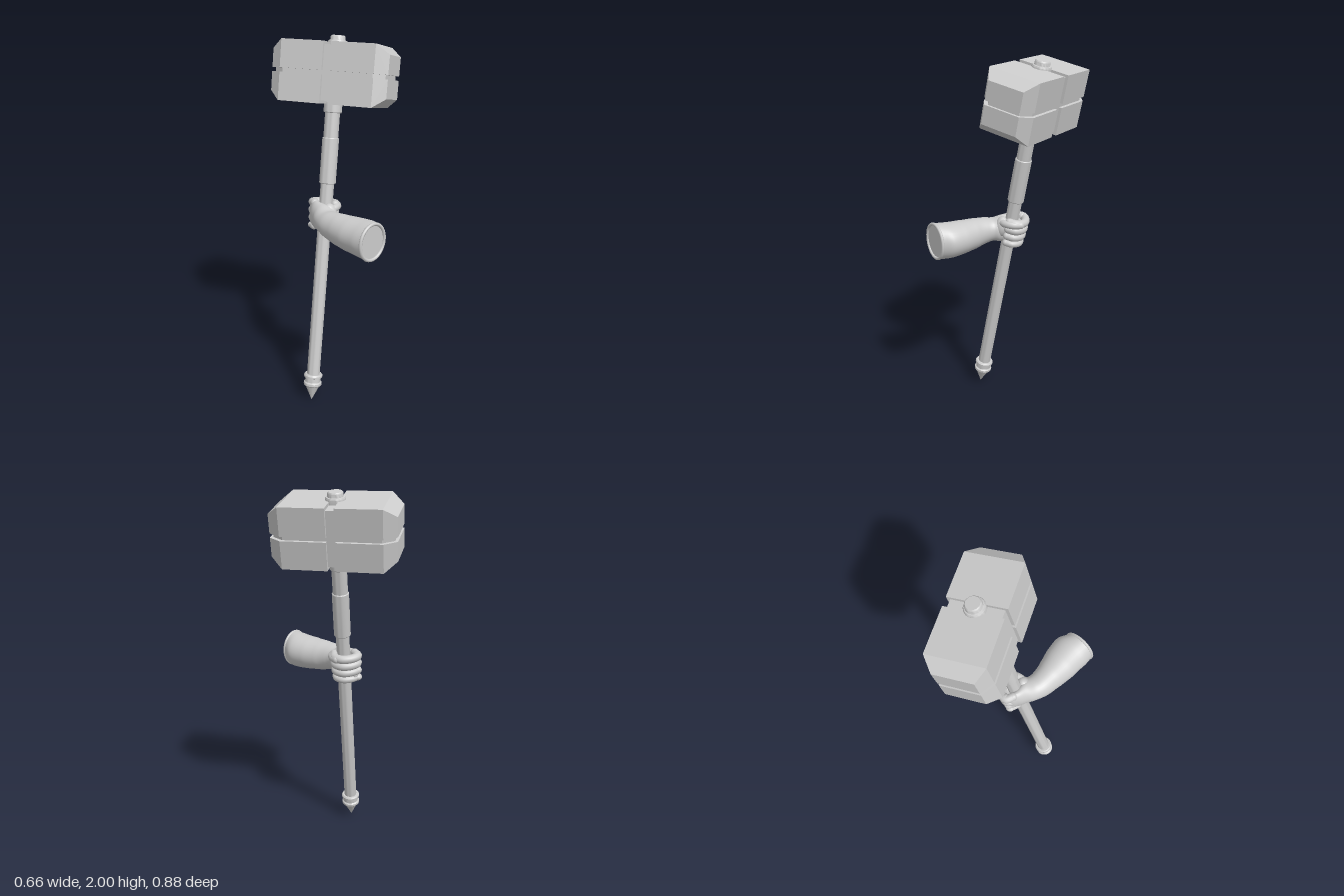
import * as THREE from 'three';
import { toCreasedNormals } from 'three/addons/utils/BufferGeometryUtils.js';
import { ConvexGeometry } from 'three/addons/geometries/ConvexGeometry.js';

const grey = new THREE.MeshStandardMaterial({ color: 0xcccccc });
const V = (x, y, z) => new THREE.Vector3(x, y, z);

function add(parent, name, geometry) {
  const mesh = new THREE.Mesh(geometry, grey);
  mesh.name = name;
  parent.add(mesh);
  return mesh;
}

// Shaft axis, from the spike tip to the top of the knob
const TIP = V(-0.232, 0, 0.155);
const AXIS = V(0.25, 1.995, -0.333).normalize();

function turned(profile) {
  const points = profile.map(([r, y]) => new THREE.Vector2(r, y));
  return toCreasedNormals(new THREE.LatheGeometry(points, 32), 0.6);
}

// Half of the head on one side of the middle: box from x0 with a tapered end
function taperedBlock(sx, sy, x0, y0, inset) {
  const sections = [
    [x0, 0.158 - inset, 0.145 - inset],
    [0.257 - inset * 0.6, 0.158 - inset, 0.145 - inset],
    [0.32 - inset, 0.11 - inset * 0.7, 0.1 - inset * 0.7],
  ];
  const points = [];
  for (const [x, h, d] of sections)
    for (const y of [y0, h])
      for (const z of [-d, d]) points.push(V(sx * x, sy * y, z));
  return new ConvexGeometry(points);
}

function buildHammer() {
  const hammer = new THREE.Group();
  hammer.name = 'hammer';
  const side = V(0.816, 0, 0.578);
  side.addScaledVector(AXIS, -side.dot(AXIS)).normalize();
  const front = side.clone().cross(AXIS);
  hammer.quaternion.setFromRotationMatrix(new THREE.Matrix4().makeBasis(side, AXIS, front));
  hammer.position.copy(TIP);

  // Head: four tapered blocks over an inset core, leaving cross grooves
  const head = new THREE.Group();
  head.name = 'head';
  head.position.y = 1.835;
  hammer.add(head);
  for (const sx of [-1, 1])
    for (const sy of [-1, 1]) {
      add(head, 'headBlock', taperedBlock(sx, sy, 0.023, 0.011, 0));
      add(head, 'headCore', taperedBlock(sx, sy, 0, 0, 0.016));
    }

  add(hammer, 'spike', turned([[0, 0], [0.046, 0.1], [0, 0.1]]));
  add(hammer, 'pommelRing', turned([
    [0, 0.088], [0.045, 0.088], [0.051, 0.096], [0.051, 0.108], [0.044, 0.115],
    [0.044, 0.138], [0.052, 0.142], [0.052, 0.153], [0.046, 0.16], [0, 0.16]]));
  add(hammer, 'shaft', turned([[0, 0.15], [0.036, 0.15], [0.037, 1.7], [0, 1.7]]));
  add(hammer, 'grip', turned([
    [0, 1.252], [0.042, 1.252], [0.045, 1.256], [0.045, 1.496], [0.042, 1.5], [0, 1.5]]));
  add(hammer, 'upperShaft', turned([[0, 1.5], [0.04, 1.5], [0.04, 1.64], [0, 1.64]]));
  add(hammer, 'collar', turned([
    [0, 1.632], [0.046, 1.632], [0.049, 1.636], [0.049, 1.69], [0, 1.69]]));
  add(hammer, 'topKnob', turned([
    [0.051, 1.96], [0.051, 2.0], [0.047, 2.006], [0.041, 2.008], [0.039, 2.026],
    [0.034, 2.032], [0, 2.032]]));
  return hammer;
}

// Smooth skin through elliptical sections [x, y, z, halfWidth, halfHeight, yaw]
function loft(sections, rings, sides) {
  const centres = new THREE.CatmullRomCurve3(sections.map(s => V(s[0], s[1], s[2])));
  const sizes = new THREE.CatmullRomCurve3(sections.map(s => V(s[3], s[4], s[5])));
  const position = [], index = [];
  for (let i = 0; i <= rings; i++) {
    const c = centres.getPoint(i / rings), s = sizes.getPoint(i / rings);
    for (let j = 0; j < sides; j++) {
      const t = (j / sides) * Math.PI * 2;
      const w = s.x * Math.cos(t);
      position.push(c.x + w * Math.cos(s.z), c.y + s.y * Math.sin(t), c.z - w * Math.sin(s.z));
      if (i === rings) continue;
      const a = i * sides + j, b = i * sides + ((j + 1) % sides);
      index.push(a, a + sides, b, b, a + sides, b + sides);
    }
  }
  const geometry = new THREE.BufferGeometry();
  geometry.setAttribute('position', new THREE.Float32BufferAttribute(position, 3));
  geometry.setIndex(index);
  geometry.computeVertexNormals();
  return geometry;
}

// Finger: curved tube with rounded ends
function digit(parent, name, points, radius) {
  const group = new THREE.Group();
  group.name = name;
  parent.add(group);
  const curve = new THREE.CatmullRomCurve3(points);
  add(group, name + 'Body', new THREE.TubeGeometry(curve, 24, radius, 14));
  for (const p of [points[0], points[points.length - 1]])
    add(group, name + 'End', new THREE.SphereGeometry(radius, 14, 10)).position.copy(p);
}

function ellipsoid(parent, name, centre, size) {
  const mesh = add(parent, name, new THREE.SphereGeometry(1, 20, 14));
  mesh.position.copy(centre);
  mesh.scale.copy(size);
  return mesh;
}

function buildArm() {
  const arm = new THREE.Group();
  arm.name = 'arm';

  // Forearm, wrist and back of the hand
  const yaw = Math.PI / 6;
  add(arm, 'forearm', loft([
    [0.045, 1.045, 0.39, 0.091, 0.099, yaw],
    [0.024, 1.043, 0.325, 0.106, 0.097, 0.49],
    [-0.019, 1.043, 0.255, 0.1, 0.092, 0.49],
    [-0.064, 1.045, 0.185, 0.084, 0.085, 0.44],
    [-0.1, 1.05, 0.12, 0.073, 0.073, 0.26],
    [-0.113, 1.052, 0.075, 0.067, 0.066, 0.08],
    [-0.118, 1.056, 0.03, 0.062, 0.076, -0.05],
    [-0.143, 1.056, -0.025, 0.039, 0.081, 0],
    [-0.148, 1.055, -0.07, 0.03, 0.079, 0.1],
    [-0.142, 1.055, -0.093, 0.018, 0.07, 0.2],
    [-0.14, 1.055, -0.098, 0.001, 0.004, 0.2],
  ], 60, 36));

  // Flat cut end with a rolled rim
  const cut = new THREE.Group();
  cut.name = 'cutEnd';
  cut.position.set(0.045, 1.045, 0.39);
  cut.rotation.y = yaw;
  arm.add(cut);
  add(cut, 'cutFace', new THREE.CircleGeometry(1, 36)).scale.set(0.091, 0.099, 1);
  const rim = [];
  for (let i = 0; i < 16; i++) {
    const t = (i / 16) * Math.PI * 2;
    rim.push(V(0.087 * Math.cos(t), 0.096 * Math.sin(t), 0));
  }
  add(cut, 'cutRim', new THREE.TubeGeometry(new THREE.CatmullRomCurve3(rim, true), 48, 0.009, 8, true));

  // Muscle swelling on the outer side near the elbow
  const muscle = ellipsoid(arm, 'forearmMuscle', V(0.045, 1.055, 0.255), V(0.04, 0.06, 0.075));
  muscle.rotation.y = 0.55;

  // Fist closed round the shaft, stacked along its axis
  const fist = new THREE.Group();
  fist.name = 'fist';
  fist.position.copy(TIP).addScaledVector(AXIS, 1.077);
  fist.quaternion.setFromUnitVectors(V(0, 1, 0), AXIS);
  arm.add(fist);
  const path = [[-0.056, -0.02], [-0.056, -0.062], [-0.012, -0.075], [0.036, -0.06], [0.058, -0.02], [0.046, 0.016]];
  [0.019, 0.022, 0.0235, 0.023].forEach((radius, i) => {
    const y = -0.066 + i * 0.043;
    const reach = 0.94 + 0.03 * i;
    digit(fist, 'finger', path.map(([x, z]) => V(x * reach, y, z * reach)), radius);
    ellipsoid(fist, 'knuckle', V(-0.052, y, -0.062), V(0.025, radius, 0.026));
  });

  // Thumb and its fleshy base
  ellipsoid(fist, 'thumbBase', V(0.008, 0.012, 0.05), V(0.045, 0.062, 0.04));
  digit(fist, 'thumb', [V(0.005, 0.035, 0.06), V(0.045, 0.05, 0.04), V(0.066, 0.056, 0.0), V(0.06, 0.06, -0.045)], 0.021);
  return arm;
}

export function createModel() {
  const model = new THREE.Group();
  model.name = 'hammerInHand';
  model.add(buildHammer(), buildArm());
  return model;
}
